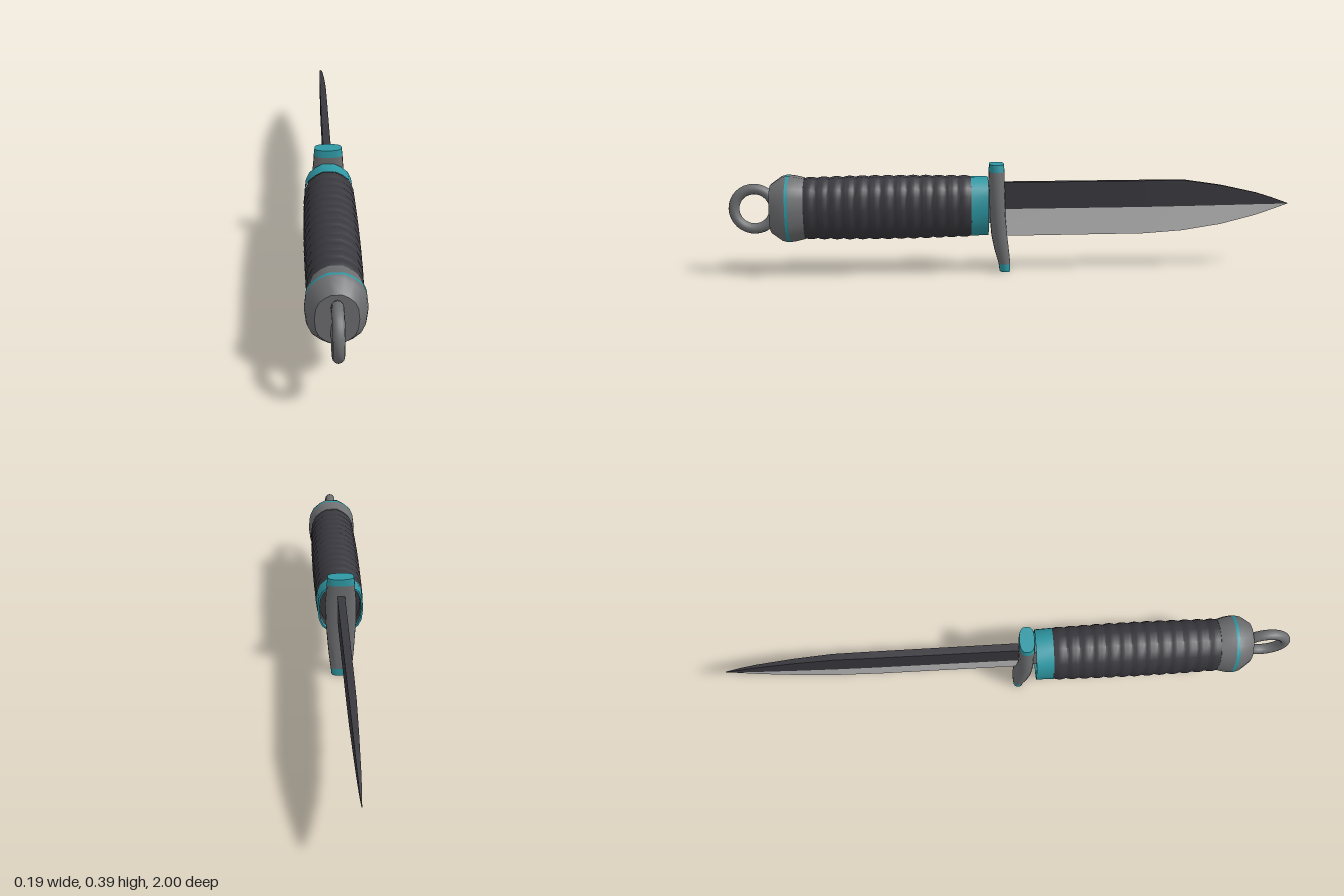
import * as THREE from 'three';
import { toCreasedNormals } from 'three/addons/utils/BufferGeometryUtils.js';

const CY = 0.236; // height of the handle axis

// Skin a list of closed rings (arrays of [x, y, z]), optionally capped
function loft(rings, capStart = true, capEnd = true, crease = 0.72) {
  const pos = [];
  const tri = (a, b, c) => pos.push(...a, ...b, ...c);
  const n = rings[0].length;
  for (let i = 0; i < rings.length - 1; i++) {
    for (let j = 0; j < n; j++) {
      const k = (j + 1) % n, p = rings[i], q = rings[i + 1];
      tri(p[j], p[k], q[j]);
      tri(p[k], q[k], q[j]);
    }
  }
  const cap = (ring, flip) => {
    const c = [0, 1, 2].map(a => ring.reduce((s, p) => s + p[a], 0) / n);
    for (let j = 0; j < n; j++) {
      const k = (j + 1) % n;
      if (flip) tri(c, ring[k], ring[j]);
      else tri(c, ring[j], ring[k]);
    }
  };
  if (capStart) cap(rings[0], true);
  if (capEnd) cap(rings[rings.length - 1], false);
  const g = new THREE.BufferGeometry();
  g.setAttribute('position', new THREE.Float32BufferAttribute(pos, 3));
  return toCreasedNormals(g, crease);
}

// Handle outline: one quarter mirrored into a flat-topped oval
const quarter = [[1, 0], [0.94, 0.43], [0.8, 0.69], [0.53, 0.88], [0.25, 1]];
const half = [...quarter, ...quarter.slice().reverse().map(([x, y]) => [-x, y])];
const oval = [...half, ...half.slice(1, -1).reverse().map(([x, y]) => [x, -y])];
const ovalRing = ([z, hx, hy]) => oval.map(([x, y]) => [x * hx, CY + y * hy, z]);

// Guard section: rounded rectangle lying in a horizontal plane
function guardRing([y, zc, hz, hx]) {
  const ring = [], e = 2 / 2.7;
  for (let j = 0; j < 20; j++) {
    const a = j / 20 * Math.PI * 2, c = Math.cos(a), s = Math.sin(a);
    ring.push([hx * Math.sign(c) * Math.abs(c) ** e, y, zc - hz * Math.sign(s) * Math.abs(s) ** e]);
  }
  return ring;
}

export function createModel() {
  const group = new THREE.Group();
  group.name = 'knife';
  const mat = (name, color, side = THREE.FrontSide) => {
    const m = new THREE.MeshStandardMaterial({ color, side });
    m.name = name;
    return m;
  };
  const dark = mat('charcoal', 0x38383e, THREE.DoubleSide);
  const grey = mat('grey metal', 0x6e6f71);
  const teal = mat('teal', 0x2e98a4);
  const silver = mat('silver edge', 0xc6c6c6);
  const add = (name, geometry, material) => {
    const m = new THREE.Mesh(geometry, material);
    m.name = name;
    group.add(m);
    return m;
  };

  // Blade stations: z, half thickness, spine, middle line, cutting edge
  const blade = [
    [-0.997, 0.001, 0.23, 0.229, 0.228],
    [-0.94, 0.004, 0.251, 0.228, 0.208],
    [-0.88, 0.006, 0.270, 0.228, 0.188],
    [-0.75, 0.009, 0.299, 0.227, 0.156],
    [-0.61, 0.0115, 0.32, 0.226, 0.135],
    [-0.47, 0.0125, 0.32, 0.225, 0.126],
    [0.06, 0.014, 0.32, 0.225, 0.125],
  ];
  add('bladeSpine', loft(blade.map(([z, w, t, m]) =>
    [[w, m, z], [w, t, z], [-w, t, z], [-w, m, z]]), true, true, 0.3), dark);
  add('bladeEdge', loft(blade.map(([z, w, , m, b]) =>
    [[w, m, z], [-w, m, z], [0, b, z]]), true, true, 0.1), silver);

  // Cross guard with teal tips
  const guard = [
    [0, 0.034, 0.019, 0.037], [0.028, 0.036, 0.021, 0.040],
    [0.08, 0.046, 0.026, 0.046], [0.13, 0.054, 0.028, 0.050],
    [0.20, 0.060, 0.028, 0.055], [0.28, 0.062, 0.028, 0.056],
    [0.34, 0.063, 0.028, 0.051], [0.36, 0.063, 0.028, 0.050],
    [0.386, 0.063, 0.026, 0.047],
  ].map(guardRing);
  add('guardLowerTip', loft(guard.slice(0, 2)), teal);
  add('guardBody', loft(guard.slice(1, 8)), grey);
  add('guardUpperTip', loft(guard.slice(7)), teal);

  // Tang joining guard and handle
  const tang = add('tang', new THREE.BoxGeometry(0.028, 0.12, 0.12), grey);
  tang.position.set(0, CY, 0.11);

  // Collar with a rim around the open end of the handle
  add('collar', loft([
    [0.102, 0.075, 0.094], [0.094, 0.077, 0.096], [0.094, 0.083, 0.102], [0.155, 0.085, 0.104],
  ].map(ovalRing), false, false), teal);
  add('collarLining', loft([[0.102, 0.075, 0.094], [0.15, 0.075, 0.094]].map(ovalRing),
    false, true), dark);

  // Ribbed grip, slightly swollen in the middle
  const grip = [], ribs = 13, steps = 6;
  for (let i = 0; i <= ribs * steps; i++) {
    const t = i / (ribs * steps);
    const r = 0.004 * Math.sin(Math.PI * t) + 0.0045 * Math.abs(Math.sin(Math.PI * t * ribs));
    grip.push(ovalRing([0.155 + 0.583 * t, 0.0825 + r, 0.1025 + r]));
  }
  add('grip', loft(grip), dark);

  // Pommel with a teal band
  const pommel = [
    [0.735, 0.084, 0.106], [0.765, 0.092, 0.113], [0.786, 0.094, 0.116],
    [0.797, 0.094, 0.116], [0.815, 0.090, 0.111], [0.853, 0.065, 0.084],
  ].map(ovalRing);
  add('pommelBase', loft(pommel.slice(0, 3)), grey);
  add('pommelBand', loft(pommel.slice(2, 4)), teal);
  add('pommelEnd', loft(pommel.slice(3)), grey);

  // Lanyard ring
  const ring = add('lanyardRing', new THREE.TorusGeometry(0.07, 0.0185, 12, 32), grey);
  ring.rotation.y = Math.PI / 2;
  ring.position.set(0, CY, 0.911);

  return group;
}
